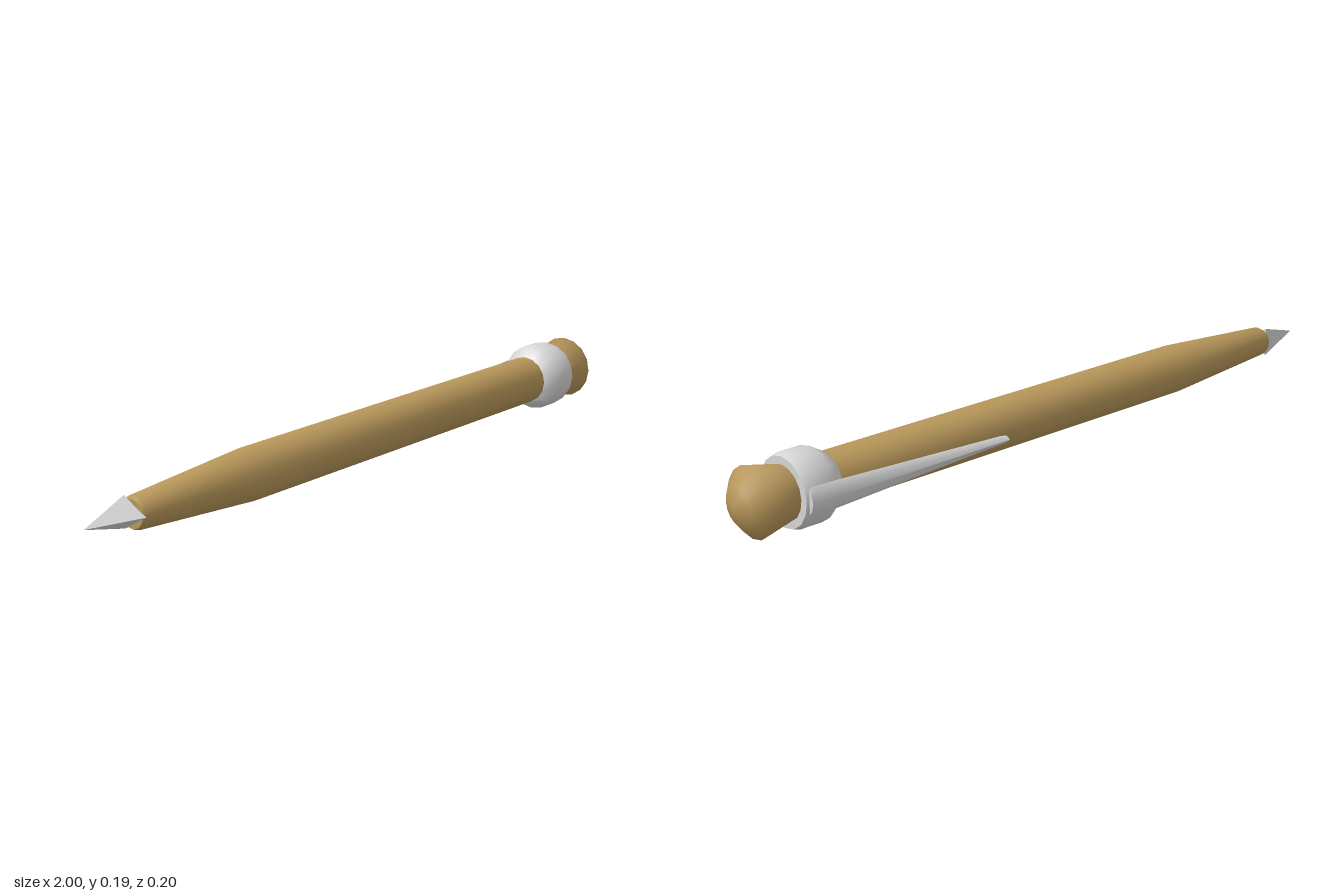
import * as THREE from 'three';
import { toCreasedNormals } from 'three/addons/utils/BufferGeometryUtils.js';

const AXIS_Y = 0.096, AXIS_Z = 0.007, SIDES = 16;

// Turned part along x from [x, radius] pairs
function turned(name, profile, material, crease) {
  const points = profile.map(([x, r]) => new THREE.Vector2(r, x));
  const geometry = new THREE.LatheGeometry(points, SIDES).rotateZ(-Math.PI / 2);
  const mesh = new THREE.Mesh(toCreasedNormals(geometry, crease), material);
  mesh.name = name;
  mesh.position.set(0, AXIS_Y, AXIS_Z);
  return mesh;
}

// Tapered strip with a low arched back, lofted along x
function clipGeometry() {
  const stations = [[0.25, 0.008], [0.27, 0.011], [0.78, 0.034], [0.845, 0.036], [0.856, 0.03]];
  const section = [[1, -0.086], [0.7, -0.094], [0, -0.1], [-0.7, -0.094], [-1, -0.086]];
  const n = section.length, positions = [], index = [];
  for (const [x, w] of stations) {
    for (const [k, z] of section) positions.push(x, AXIS_Y + k * w, z);
  }
  for (let s = 0; s < stations.length - 1; s++) {
    for (let i = 0; i < n; i++) {
      const a = s * n + i, b = s * n + (i + 1) % n;
      index.push(a, a + n, b, b, a + n, b + n);
    }
  }
  const last = (stations.length - 1) * n;
  for (let i = 1; i < n - 1; i++) {
    index.push(0, i, i + 1, last, last + i + 1, last + i);
  }
  const geometry = new THREE.BufferGeometry();
  geometry.setAttribute('position', new THREE.Float32BufferAttribute(positions, 3));
  geometry.setIndex(index);
  return toCreasedNormals(geometry, 0.8);
}

export function createModel() {
  const brass = new THREE.MeshStandardMaterial({ color: 0xb8975a });
  brass.name = 'brass';
  const silver = new THREE.MeshStandardMaterial({ color: 0xd6d6d6 });
  silver.name = 'silver';

  const pen = new THREE.Group();
  pen.name = 'pen';

  // Barrel, tapered towards the nib
  pen.add(turned('barrel',
    [[-0.855, 0], [-0.855, 0.036], [-0.845, 0.041], [-0.47, 0.066], [0.76, 0.066]], brass, 0.8));

  // Collar that holds the clip
  pen.add(turned('collar',
    [[0.74, 0.064], [0.742, 0.07], [0.78, 0.093], [0.845, 0.093], [0.86, 0.088], [0.86, 0.05]], silver, 0.8));

  // Flared end knob
  pen.add(turned('endKnob',
    [[0.85, 0.066], [0.95, 0.088], [0.984, 0.048], [1, 0]], brass, 1.25));

  // Three-sided nib
  const nibGeometry = new THREE.ConeGeometry(0.046, 0.146, 3).rotateZ(Math.PI / 2).toNonIndexed();
  nibGeometry.computeVertexNormals();
  const nib = new THREE.Mesh(nibGeometry, silver);
  nib.name = 'nib';
  nib.position.set(-0.927, AXIS_Y, AXIS_Z);
  pen.add(nib);

  // Pocket clip on the back
  const clip = new THREE.Mesh(clipGeometry(), silver);
  clip.name = 'clip';
  pen.add(clip);

  return pen;
}
